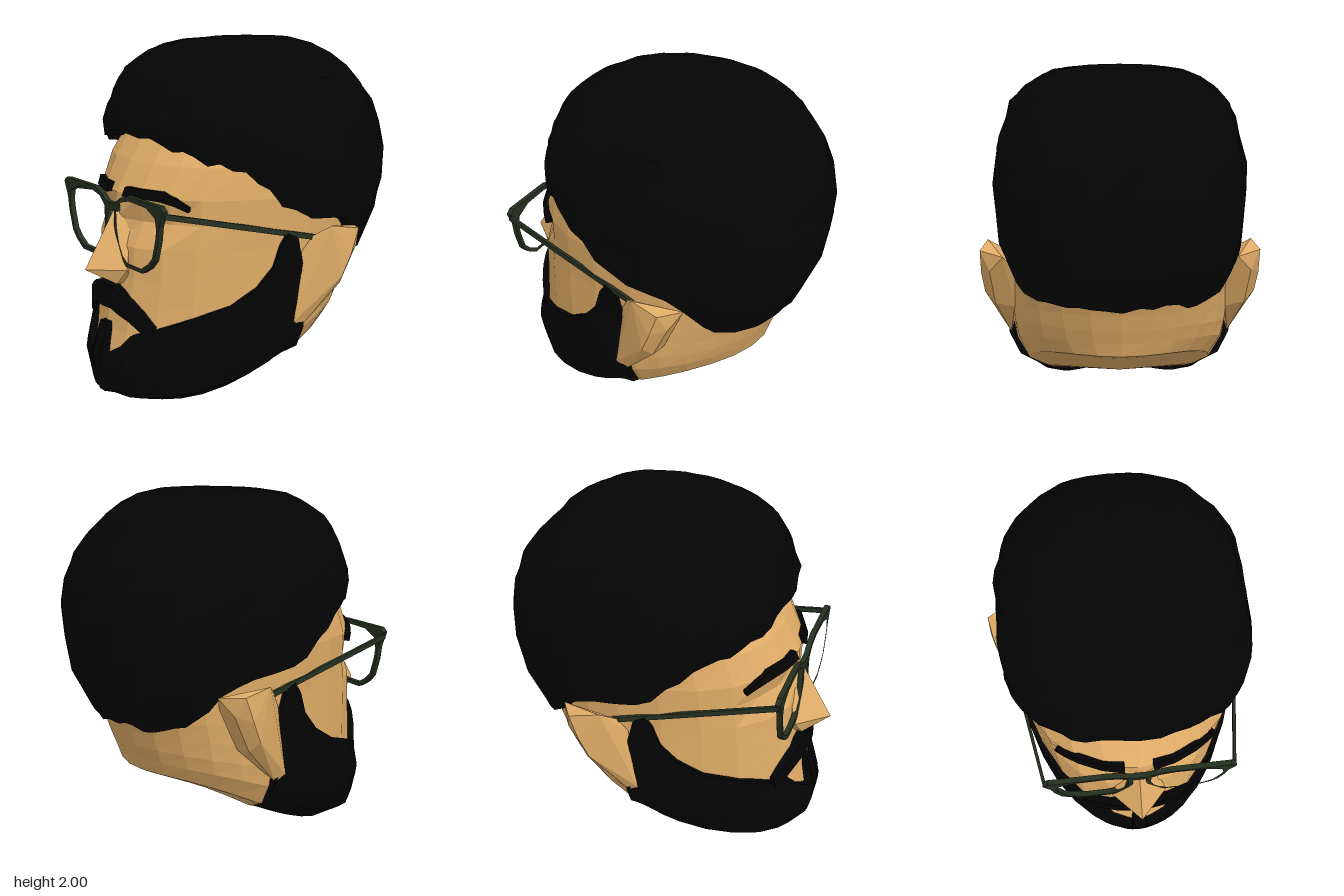
import * as THREE from 'three';
import { ConvexGeometry } from 'three/addons/geometries/ConvexGeometry.js';

const V = (x, y, z) => new THREE.Vector3(x, y, z);
const RAD = Math.PI / 180;
const Z0 = -0.1; // depth of the widest point of every cross-section

// Cross-sections: [y at front, y at back, half width, front z, back z, squareness (1 is an ellipse, less is squarer)]
const SKIN = [
  [0.20, 0.20, 0, Z0, Z0, 1],
  [0.04, 0.43, 0.43, 0.66, -0.60, 1],
  [0.11, 0.45, 0.53, 0.81, -0.635, 1.03],
  [0.28, 0.53, 0.60, 0.84, -0.66, 1.03],
  [0.42, 0.61, 0.62, 0.81, -0.69, 1],
  [0.58, 0.70, 0.63, 0.79, -0.72, 0.98],
  [0.72, 0.80, 0.635, 0.77, -0.76, 0.95],
  [0.90, 0.92, 0.645, 0.76, -0.80, 0.95],
  [1.04, 1.04, 0.66, 0.74, -0.82, 0.95],
  [1.18, 1.18, 0.675, 0.73, -0.84, 0.95],
  [1.35, 1.35, 0.67, 0.64, -0.82, 0.9],
  [1.50, 1.50, 0.62, 0.54, -0.75, 0.9],
  [1.70, 1.70, 0.40, 0.35, -0.50, 0.9],
  [1.75, 1.75, 0, Z0, Z0, 0.9],
];
const BEARD = [
  [0.00, 0.49, 0.46, 0.67, -0.5, 1],
  [0.06, 0.55, 0.585, 0.86, -0.6, 1.05],
  [0.27, 0.60, 0.65, 0.895, -0.6, 1.04],
  [0.46, 0.66, 0.655, 0.835, -0.6, 1],
  [0.70, 0.80, 0.655, 0.83, -0.6, 0.97],
  [1.00, 1.00, 0.67, 0.80, -0.6, 0.95],
];
const HAIR = [
  [0.73, 0.73, 0.62, 0.58, -0.78, 0.85],
  [0.95, 0.95, 0.67, 0.60, -0.89, 0.82],
  [1.06, 1.06, 0.69, 0.61, -0.925, 0.8],
  [1.35, 1.35, 0.71, 0.63, -0.94, 0.79],
  [1.55, 1.55, 0.695, 0.67, -0.895, 0.79],
  [1.66, 1.66, 0.665, 0.625, -0.84, 0.82],
  [1.80, 1.80, 0.61, 0.585, -0.73, 0.86],
  [1.90, 1.90, 0.52, 0.47, -0.61, 0.92],
  [1.965, 1.965, 0.39, 0.33, -0.50, 0.95],
  [1.99, 1.99, 0.26, 0.16, -0.41, 1],
  [2.00, 2.00, 0, Z0, Z0, 1],
];

const lerp = THREE.MathUtils.lerp;
const soft = (v, p) => Math.sign(v) * Math.abs(v) ** p;
const noise = (i, j) => { const s = Math.sin(i * 127.1 + j * 311.7) * 43758.5; return s - Math.floor(s) - 0.5; };

// Height and point of a cross-section at an angle from the front, grown by d
const rowY = (r, a) => lerp(r[0], r[1], THREE.MathUtils.smoothstep((1 - Math.cos(a)) / 2, 0, 1));
function rowPoint(r, a, d = 0) {
  const c = Math.cos(a);
  const reach = c > 0 ? r[3] + d - Z0 : Z0 - r[4] + d;
  return V((r[2] + d) * soft(Math.sin(a), r[5]), rowY(r, a), Z0 + reach * soft(c, r[5]));
}

// Point on a lofted surface at a given angle and height
function surfacePoint(table, a, y, d = 0) {
  let k = 0;
  while (k < table.length - 2 && y > rowY(table[k + 1], a)) k++;
  const y0 = rowY(table[k], a), y1 = rowY(table[k + 1], a);
  const t = THREE.MathUtils.clamp((y - y0) / (y1 - y0), 0, 1);
  const p = rowPoint(table[k], a, d).lerp(rowPoint(table[k + 1], a, d), t);
  p.y = y;
  return p;
}

// Faceted sheet over a grid of points
function grid(nu, nv, fn) {
  const pos = [], idx = [];
  for (let j = 0; j <= nv; j++) for (let i = 0; i <= nu; i++) pos.push(...fn(i, j).toArray());
  for (let j = 0; j < nv; j++) for (let i = 0; i < nu; i++) {
    const a = j * (nu + 1) + i, d = a + nu + 1;
    idx.push(a, a + 1, d + 1, a, d + 1, d);
  }
  const g = new THREE.BufferGeometry();
  g.setAttribute('position', new THREE.Float32BufferAttribute(pos, 3));
  g.setIndex(idx);
  const flat = g.toNonIndexed();
  flat.computeVertexNormals();
  return flat;
}

// Patch lying on a surface; columns are [degrees, bottom y, top y], edges tuck inward
function patch(table, cols, rows, grow, tuck) {
  const c = [cols[0], ...cols, cols[cols.length - 1]];
  return grid(c.length - 1, rows + 2, (i, j) => {
    const [deg, lo, hi] = c[i];
    const t = THREE.MathUtils.clamp((j - 1) / rows, 0, 1);
    const edge = i === 0 || i === c.length - 1 || j === 0 || j === rows + 2;
    return surfacePoint(table, deg * RAD, lerp(lo, hi, t), edge ? grow - tuck : grow);
  });
}
const mirrorCols = (half) => [...half.filter((c) => c[0] > 0).reverse().map(([a, ...r]) => [-a, ...r]), ...half];

export function createModel() {
  const group = new THREE.Group();
  const material = (name, color, extra) => Object.assign(new THREE.MeshStandardMaterial({ color, ...extra }), { name });
  const skin = material('skin', 0xe3af69);
  const black = material('black hair', 0x040404, { side: THREE.DoubleSide });
  const frame = material('glasses frame', 0x253020);
  const add = (name, geometry, mat) => {
    const m = new THREE.Mesh(geometry, mat);
    m.name = name;
    group.add(m);
    return m;
  };

  // Head, with eye sockets pressed in below the brow
  add('head', grid(24, SKIN.length - 1, (i, j) => {
    const p = rowPoint(SKIN[j], (i * 15 - 180) * RAD);
    if (j === 8 && p.z > 0.2) p.z -= 0.06 * Math.exp(-(((Math.abs(p.x) - 0.26) / 0.13) ** 2));
    return p;
  }), skin);

  // Nose
  add('nose', new ConvexGeometry([
    V(0, 1.1, 0.745), V(0, 0.77, 0.94), V(0, 0.9, 0.6),
    ...[-1, 1].flatMap((s) => [V(s * 0.16, 0.775, 0.77), V(s * 0.1, 0.69, 0.8), V(s * 0.09, 0.69, 0.7), V(s * 0.08, 1.04, 0.69)]),
  ]), skin);

  // Hair cap with an uneven hairline: [degrees, y]
  const hairline = [[0, 1.48], [12, 1.505], [20, 1.46], [30, 1.42], [40, 1.39], [50, 1.365], [62, 1.32], [71, 1.23],
    [78, 1.12], [81, 1.08], [85.5, 1.1], [90, 1.06], [98, 1.02], [107.5, 0.97], [122, 0.81], [138, 0.76], [180, 0.75]];
  const hairBottom = (deg) => {
    const k = Math.max(1, hairline.findIndex((h) => h[0] >= deg));
    const [a, b] = [hairline[k - 1], hairline[k]];
    return lerp(a[1], b[1], (deg - a[0]) / (b[0] - a[0]));
  };
  const HC = 60, HR = 11;
  add('hair', grid(HC, HR + 1, (i, j) => {
    const deg = i * 360 / HC - 180, n = i % HC;
    const lo = hairBottom(Math.abs(deg)) + 0.04 * noise(n, 50);
    const t = Math.max(0, (j - 1) / HR);
    const y = lerp(lo, 2, 1 - (1 - t) ** 2);
    const bump = j > HR - 1 ? 0 : 0.02 * noise(n >> 1, j);
    return surfacePoint(HAIR, deg * RAD, y, j === 0 ? -0.12 : bump);
  }), black);

  // Beard with sideburns and a chin tuft: [degrees, top y]
  const beardTop = [[0, 0.46], [3.2, 0.46], [5, 0.29], [9, 0.31], [16, 0.36], [19.5, 0.42], [27, 0.45], [38, 0.5],
    [49, 0.55], [60, 0.6], [70, 0.69], [76, 0.8], [78.5, 0.92], [81, 0.98], [85, 0.95], [88, 0.75]];
  const beardCols = beardTop.map(([a, top]) => [a, rowY(BEARD[0], a * RAD) + 0.001, top]);
  add('beard', patch(BEARD, mirrorCols(beardCols), 8, 0, 0.06), black);

  // Moustache
  add('moustache', patch(BEARD, mirrorCols([[0, 0.55, 0.68], [6.8, 0.55, 0.68], [12, 0.525, 0.65],
    [17.5, 0.5, 0.61], [24, 0.45, 0.55], [30, 0.42, 0.48]]), 2, 0.004, 0.06), black);

  // Eyebrows
  const brow = [[6, 1.17, 1.22], [16, 1.175, 1.222], [27, 1.17, 1.22], [34, 1.15, 1.19], [40, 1.12, 1.145]];
  add('leftEyebrow', patch(SKIN, brow, 1, 0.025, 0.05), black);
  add('rightEyebrow', patch(SKIN, brow.map(([a, ...r]) => [-a, ...r]).reverse(), 1, 0.025, 0.05), black);

  // Glasses rim outline and lens opening
  const rim = [[0.04, 1.125], [0.1, 1.165], [0.17, 1.19], [0.51, 1.19], [0.54, 1.165], [0.5, 1.08], [0.487, 1],
    [0.45, 0.89], [0.4, 0.84], [0.325, 0.797], [0.16, 0.797], [0.105, 0.835], [0.065, 0.9], [0.038, 1]];
  const lens = [[0.065, 1.1], [0.115, 1.145], [0.2, 1.165], [0.37, 1.16], [0.46, 1.12], [0.473, 1.06], [0.462, 1],
    [0.428, 0.9], [0.385, 0.86], [0.317, 0.821], [0.168, 0.821], [0.123, 0.85], [0.087, 0.908], [0.063, 1]];

  for (const s of [1, -1]) {
    const side = s > 0 ? 'left' : 'right';
    const pts = (list) => list.map(([x, y]) => new THREE.Vector2(s * x, y));

    // Ear
    add(side + 'Ear', new ConvexGeometry([
      [0.755, 1.01, -0.17], [0.785, 0.98, -0.34], [0.785, 0.84, -0.29], [0.77, 0.72, -0.24],
      [0.65, 0.47, 0], [0.64, 0.43, -0.06], [0.645, 0.86, -0.05], [0.68, 0.95, -0.1],
      [0.65, 0.96, -0.43], [0.73, 0.87, -0.375], [0.71, 0.66, -0.275], [0.56, 0.7, -0.15],
      [0.58, 0.87, -0.38], [0.6, 0.64, -0.28],
    ].map(([x, y, z]) => V(s * x, y, z))), skin);

    // Rim
    const shape = new THREE.Shape(pts(rim));
    shape.holes.push(new THREE.Path(pts(lens)));
    add(side + 'Rim', new THREE.ExtrudeGeometry(shape, { depth: 0.03, bevelEnabled: false }), frame).position.z = 0.745;

    // Temple arm
    const from = V(s * 0.53, 1.14, 0.76), to = V(s * 0.715, 0.88, -0.37);
    const arm = add(side + 'TempleArm', new THREE.BoxGeometry(0.018, 0.03, from.distanceTo(to)), frame);
    arm.position.copy(from).lerp(to, 0.5);
    arm.lookAt(to);
  }

  // Bridge
  add('bridge', new THREE.BoxGeometry(0.11, 0.045, 0.03), frame).position.set(0, 1.105, 0.76);

  return group;
}
